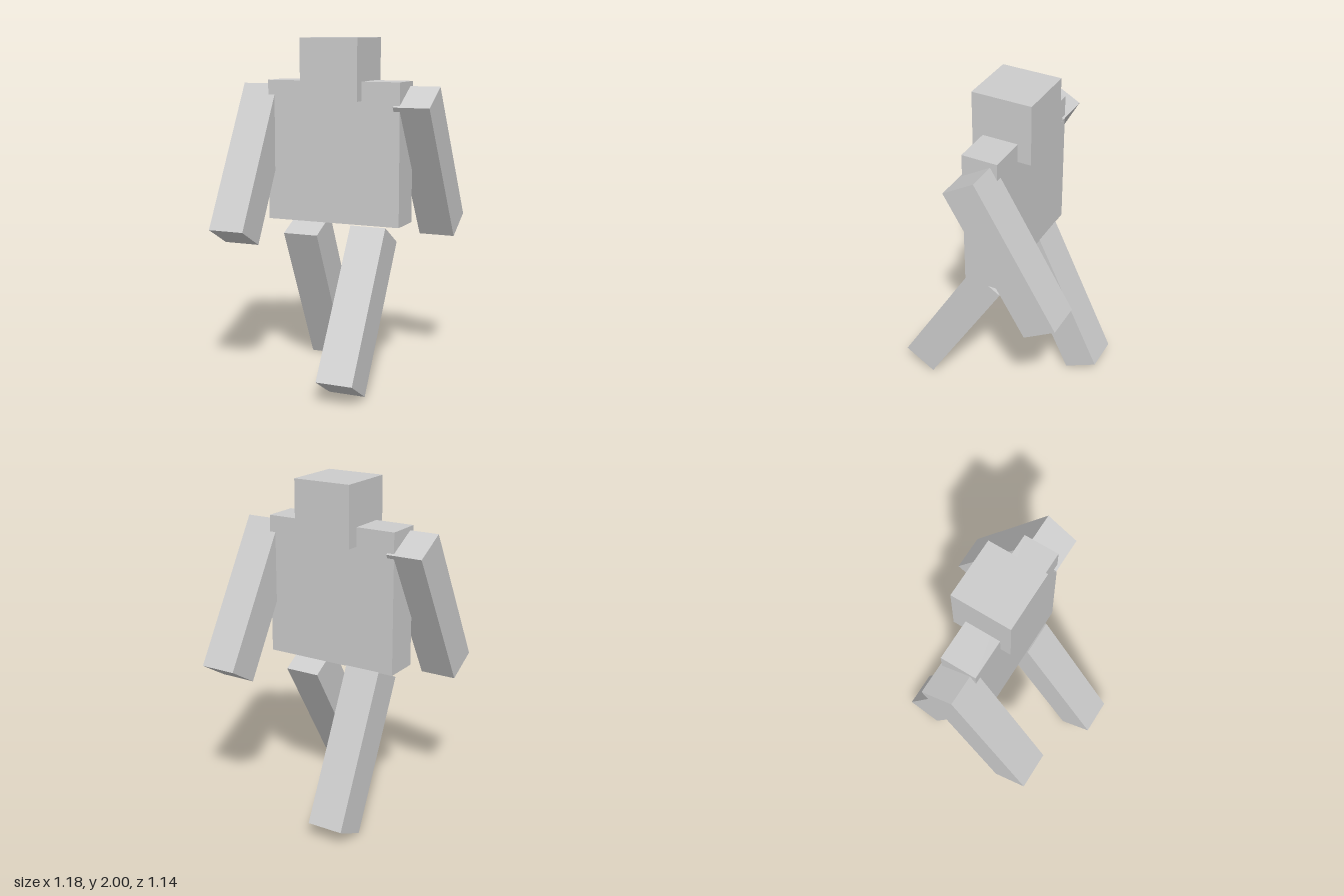
import * as THREE from 'three';

const material = new THREE.MeshStandardMaterial({ color: 0xcccccc, flatShading: true });

function block(name, size, position, swing = 0) {
  const mesh = new THREE.Mesh(new THREE.BoxGeometry(...size), material);
  mesh.name = name;
  mesh.position.set(...position);
  mesh.rotation.x = swing; // positive swings the lower end backwards
  return mesh;
}

export function createModel() {
  const model = new THREE.Group();
  model.name = 'walkingFigure';

  // Head and torso
  model.add(
    block('head', [0.356, 0.356, 0.356], [0, 1.822, -0.034]),
    block('torso', [0.825, 0.824, 0.212], [-0.003, 1.342, -0.026])
  );

  // Arms and legs share one block size and swing in opposite directions
  const limb = [0.217, 0.932, 0.216];
  model.add(
    block('leftArm', limb, [0.481, 1.271, -0.238], 0.542),
    block('rightArm', limb, [-0.483, 1.271, 0.174], -0.5),
    block('leftLeg', limb, [0.223, 0.471, 0.237], -0.546),
    block('rightLeg', limb, [-0.22, 0.469, -0.235], 0.447)
  );
  return model;
}
